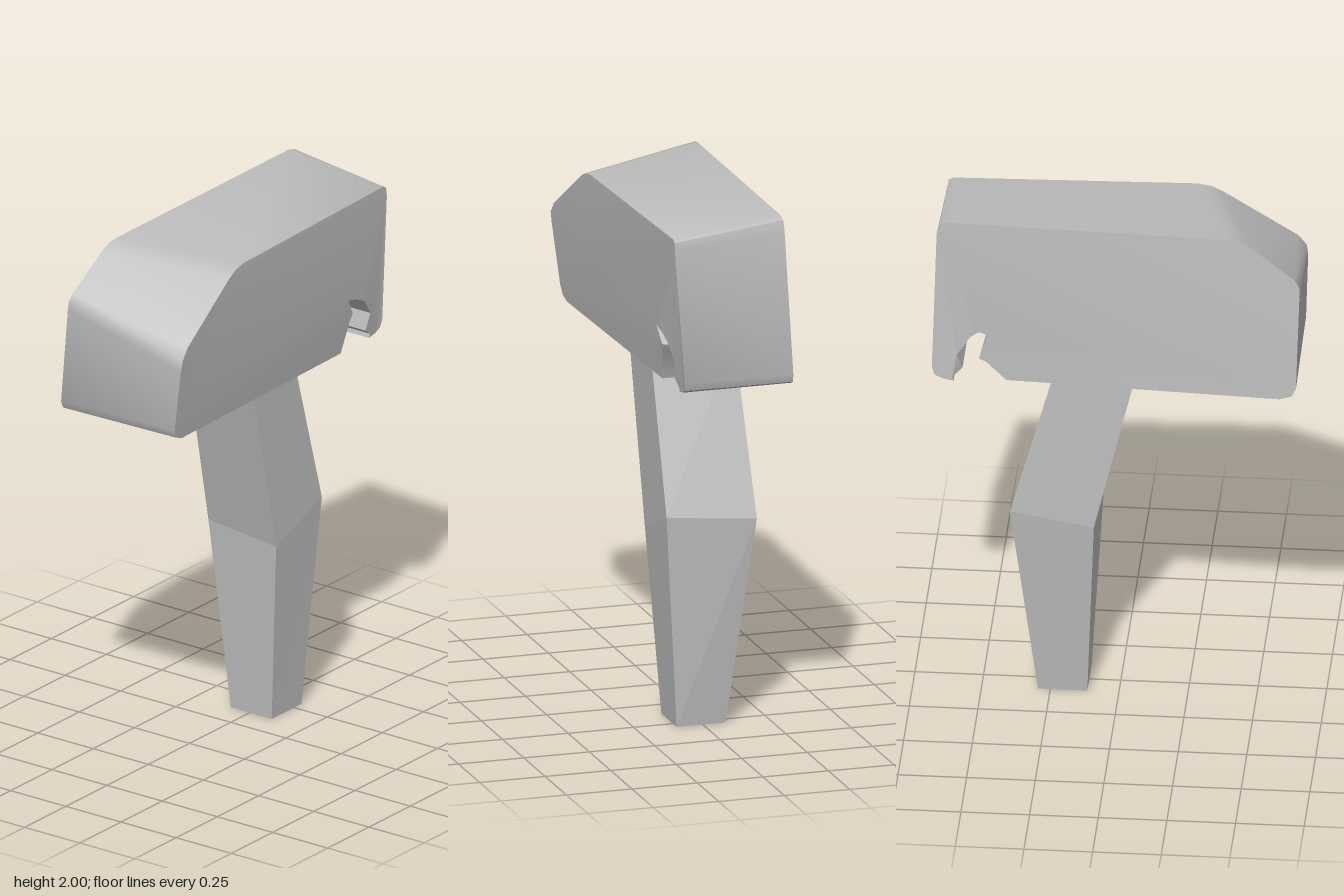
import * as THREE from 'three';
import { toCreasedNormals } from 'three/addons/utils/BufferGeometryUtils.js';

const grey = new THREE.MeshStandardMaterial({ color: 0xbcbcbc });
grey.name = 'plainGrey';

// Triangle soup from [x, y, z] corners
function soup(points) {
  const g = new THREE.BufferGeometry();
  g.setAttribute('position', new THREE.Float32BufferAttribute(points.flat(), 3));
  g.computeVertexNormals();
  return g;
}

function part(name, geometry) {
  const m = new THREE.Mesh(geometry, grey);
  m.name = name;
  return m;
}

// Head: skewed side profile, [z, y] on the +x side then [z, y] on the -x side
const PROFILE = [
  [-0.41, 1.36, -0.40, 1.36],   // underside
  [0.60, 1.37, 0.60, 1.365],
  [0.64, 1.385, 0.645, 1.38],   // rounded front foot
  [0.655, 1.42, 0.66, 1.41],
  [0.66, 1.66, 0.67, 1.78],     // front face to slope
  [0.655, 1.70, 0.67, 1.81],
  [0.625, 1.74, 0.65, 1.84],
  [0.35, 1.92, 0.49, 1.96],     // slope to top
  [0.31, 1.94, 0.45, 1.98],
  [0.26, 1.95, 0.41, 1.985],
  [-0.63, 1.95, -0.61, 2.0],    // rounded top back
  [-0.645, 1.94, -0.645, 1.99],
  [-0.65, 1.91, -0.655, 1.95],
  [-0.665, 1.41, -0.67, 1.41],  // rear lip
  [-0.655, 1.38, -0.66, 1.38],
  [-0.63, 1.367, -0.63, 1.367],
  [-0.59, 1.36, -0.59, 1.36],
  [-0.595, 1.375, -0.595, 1.375], // jagged notch
  [-0.56, 1.40, -0.56, 1.40],
  [-0.58, 1.465, -0.58, 1.465],
  [-0.53, 1.53, -0.53, 1.53],
  [-0.48, 1.555, -0.50, 1.55],
  [-0.42, 1.57, -0.47, 1.54],
  [-0.46, 1.505, -0.50, 1.44],
  [-0.445, 1.475, -0.475, 1.43],
];

// Side faces: bulging on +x, leaning and flaring forward on -x
function rightX(y, z) {
  const bulge = y > 1.7 ? 0.01 - (y - 1.7) * 0.028 : 0.01 - (1.7 - y) * 0.13;
  return 0.24 + 0.034 * z + bulge;
}
function leftX(y, z) {
  const t = (2 - y) / 0.62;
  const lip = z < -0.57 ? 0.034 * t : 0;
  return -0.203 - 0.032 * t - (0.017 + 0.049 * t) * z - lip;
}

function headGeometry() {
  const R = PROFILE.map(([z, y]) => [rightX(y, z), y, z]);
  const L = PROFILE.map(([, , z, y]) => [leftX(y, z), y, z]);
  const tris = (side) => THREE.ShapeUtils.triangulateShape(
    side.map(([, y, z]) => new THREE.Vector2(z, y)), []);
  const pts = [];
  for (const [a, b, c] of tris(R)) pts.push(R[a], R[c], R[b]);
  for (const [a, b, c] of tris(L)) pts.push(L[a], L[b], L[c]);
  for (let i = 0; i < R.length; i++) {
    const j = (i + 1) % R.length;
    pts.push(R[i], R[j], L[j], R[i], L[j], L[i]);
  }
  return toCreasedNormals(soup(pts), 0.7);
}

// Handle: three four-sided rings, corners front +x, back +x, back -x, front -x
const RINGS = [
  [[0.10, 0, -0.115], [0.10, 0, -0.295], [-0.085, 0, -0.295], [-0.085, 0, -0.115]],
  [[0.15, 0.70, -0.075], [0.155, 0.81, -0.345], [-0.175, 0.79, -0.39], [-0.165, 0.73, -0.085]],
  [[0.16, 1.42, 0.09], [0.16, 1.42, -0.165], [-0.145, 1.42, -0.215], [-0.14, 1.42, 0.08]],
];

function handleGeometry() {
  const pts = [];
  const quad = (a, b, c, d) => pts.push(a, b, c, a, c, d);
  for (let r = 0; r < RINGS.length - 1; r++) {
    const lo = RINGS[r], hi = RINGS[r + 1];
    for (let i = 0; i < 4; i++) {
      const j = (i + 1) % 4;
      quad(lo[i], lo[j], hi[j], hi[i]);
    }
  }
  const [b, , t] = RINGS;
  quad(b[3], b[2], b[1], b[0]);
  quad(t[0], t[1], t[2], t[3]);
  return soup(pts);
}

export function createModel() {
  const group = new THREE.Group();
  group.name = 'hammer';
  group.add(part('head', headGeometry()), part('handle', handleGeometry()));
  return group;
}
